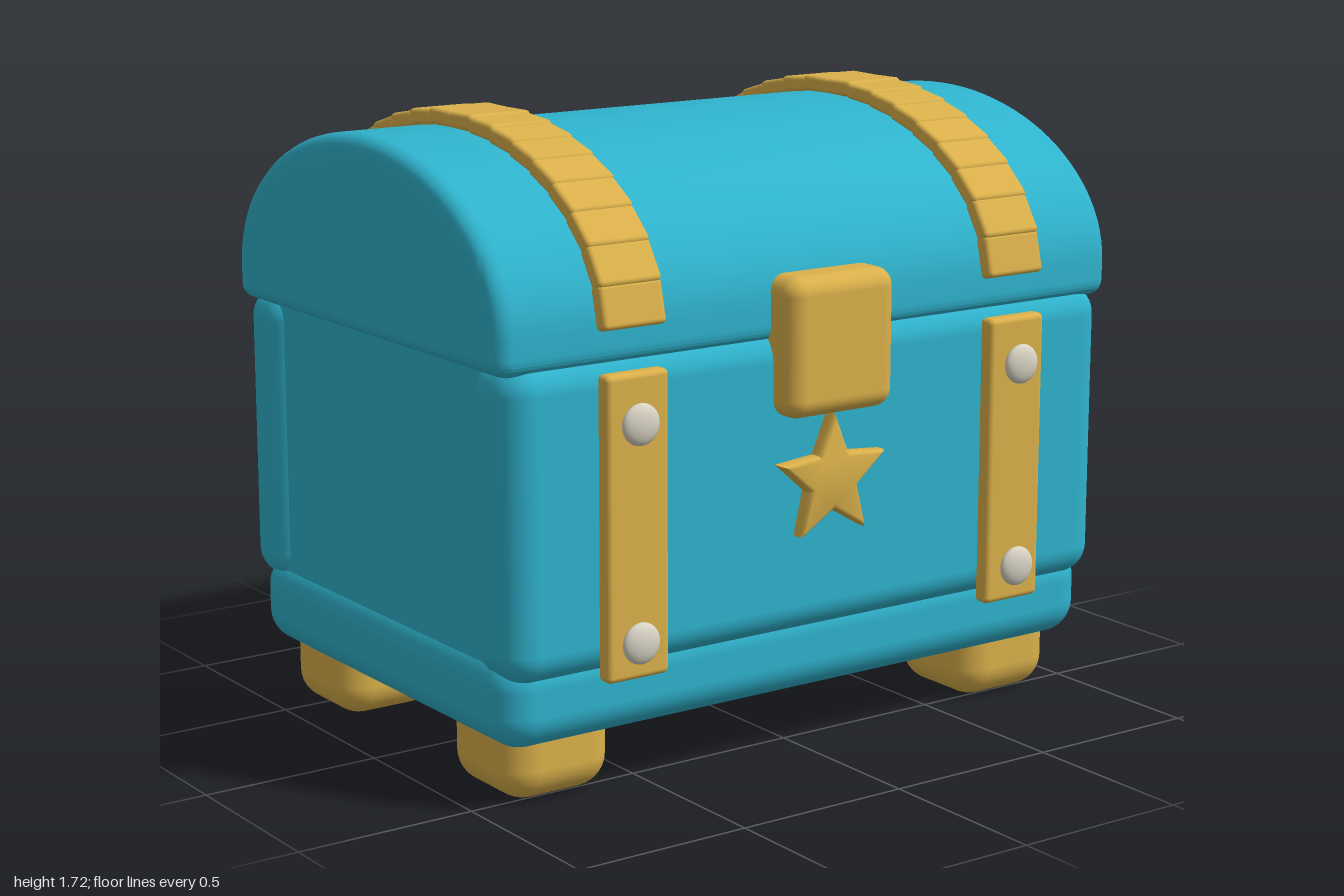
import * as THREE from 'three';
import { toCreasedNormals } from 'three/addons/utils/BufferGeometryUtils.js';
import { RoundedBoxGeometry } from 'three/addons/geometries/RoundedBoxGeometry.js';

const material = (name, color) => {
  const m = new THREE.MeshStandardMaterial({ color });
  m.name = name;
  return m;
};

export function createModel() {
  const teal = material('teal', 0x2fb3cd);
  const gold = material('gold', 0xdab04a);
  const silver = material('silver', 0xd8d3c4);
  const chest = new THREE.Group();
  chest.name = 'treasureChest';

  const add = (name, geometry, mat, parent = chest) => {
    const mesh = new THREE.Mesh(geometry, mat);
    mesh.name = name;
    parent.add(mesh);
    return mesh;
  };
  // Rounded box given by its limits on each axis
  const block = (name, [x0, x1], [y0, y1], [z0, z1], radius, mat) => {
    const mesh = add(name, new RoundedBoxGeometry(x1 - x0, y1 - y0, z1 - z0, 5, radius), mat);
    mesh.position.set((x0 + x1) / 2, (y0 + y1) / 2, (z0 + z1) / 2);
    return mesh;
  };

  // Body: plinth, side panels and thick, soft front and back panels
  block('base', [-0.975, 0.975], [0.165, 0.425], [-0.69, 0.635], 0.095, teal);
  block('sidePanels', [-0.955, 0.955], [0.3, 1.2], [-0.6, 0.55], 0.02, teal);
  block('frontPanel', [-0.98, 0.98], [0.35, 1.185], [0.455, 0.675], 0.085, teal);
  block('backPanel', [-0.98, 0.98], [0.35, 1.185], [-0.725, -0.505], 0.085, teal);

  // Feet
  for (const s of [-1, 1]) {
    const x = s < 0 ? [-0.92, -0.59] : [0.59, 0.92];
    block('frontFoot', x, [0, 0.26], [0.235, 0.565], 0.09, gold);
    block('backFoot', x, [0, 0.26], [-0.62, -0.29], 0.09, gold);
  }

  // Arched lid: side profile extruded along x with soft ends
  const midZ = -0.025, springY = 1.25, a = 0.688, b = 0.43;
  const profile = new THREE.Shape();
  profile.moveTo(midZ - a + 0.05, 1.15);
  profile.lineTo(midZ + a - 0.05, 1.15);
  profile.quadraticCurveTo(midZ + a, 1.15, midZ + a, 1.2);
  profile.lineTo(midZ + a, springY);
  profile.absellipse(midZ, springY, a, b, 0, Math.PI, false, 0);
  profile.lineTo(midZ - a, 1.2);
  profile.quadraticCurveTo(midZ - a, 1.15, midZ - a + 0.05, 1.15);
  const lid = new THREE.ExtrudeGeometry(profile, {
    depth: 1.91, curveSegments: 24, bevelEnabled: true, bevelSegments: 5,
    bevelSize: 0.04, bevelThickness: 0.045, bevelOffset: -0.04,
  });
  lid.translate(0, 0, -0.955).rotateY(-Math.PI / 2);
  add('lid', toCreasedNormals(lid, 0.6), teal);

  // Lid bands: equal plates spaced evenly along the arch, lower edges lifted
  const plates = 18;
  const arch = new THREE.EllipseCurve(midZ, springY + 0.005, a + 0.015, b + 0.015, 0, Math.PI);
  const plateGeometry = new RoundedBoxGeometry(0.19, 0.045, arch.getLength() / plates + 0.014, 3, 0.013);
  for (const x of [-0.625, 0.625]) {
    const band = new THREE.Group();
    band.name = 'lidBand';
    chest.add(band);
    for (let i = 0; i < plates; i++) {
      const u = (i + 0.5) / plates;
      const p = arch.getPointAt(u), t = arch.getTangentAt(u);
      const plate = add('bandPlate', plateGeometry, gold, band);
      plate.position.set(x, p.y, p.x);
      plate.rotation.x = Math.atan2(t.y, -t.x) - Math.sign(0.5 - u) * 0.06;
    }
  }

  // Front straps with flat domed rivets
  for (const x of [-0.625, 0.625]) {
    block('frontStrap', [x - 0.095, x + 0.095], [0.34, 1.14], [0.665, 0.716], 0.016, gold);
    for (const y of [0.44, 1.01]) {
      const rivet = add('rivet', new THREE.SphereGeometry(0.055, 24, 16), silver);
      rivet.scale.z = 0.42;
      rivet.position.set(x + Math.sign(x) * 0.003, y, 0.729);
    }
  }

  // Lock plate and star
  block('lockPlate', [-0.175, 0.175], [0.955, 1.33], [0.6, 0.755], 0.05, gold);
  const points = [];
  for (let i = 0; i < 10; i++) {
    const r = i % 2 ? 0.083 : 0.18;
    const t = Math.PI / 2 + (i * Math.PI) / 5;
    points.push(new THREE.Vector2(r * Math.cos(t), r * Math.sin(t)));
  }
  const star = new THREE.ExtrudeGeometry(new THREE.Shape(points), {
    depth: 0.02, bevelEnabled: true, bevelSegments: 3,
    bevelSize: 0.014, bevelThickness: 0.018, bevelOffset: -0.014,
  });
  add('star', toCreasedNormals(star, 0.7), gold).position.set(0, 0.775, 0.68);

  return chest;
}
